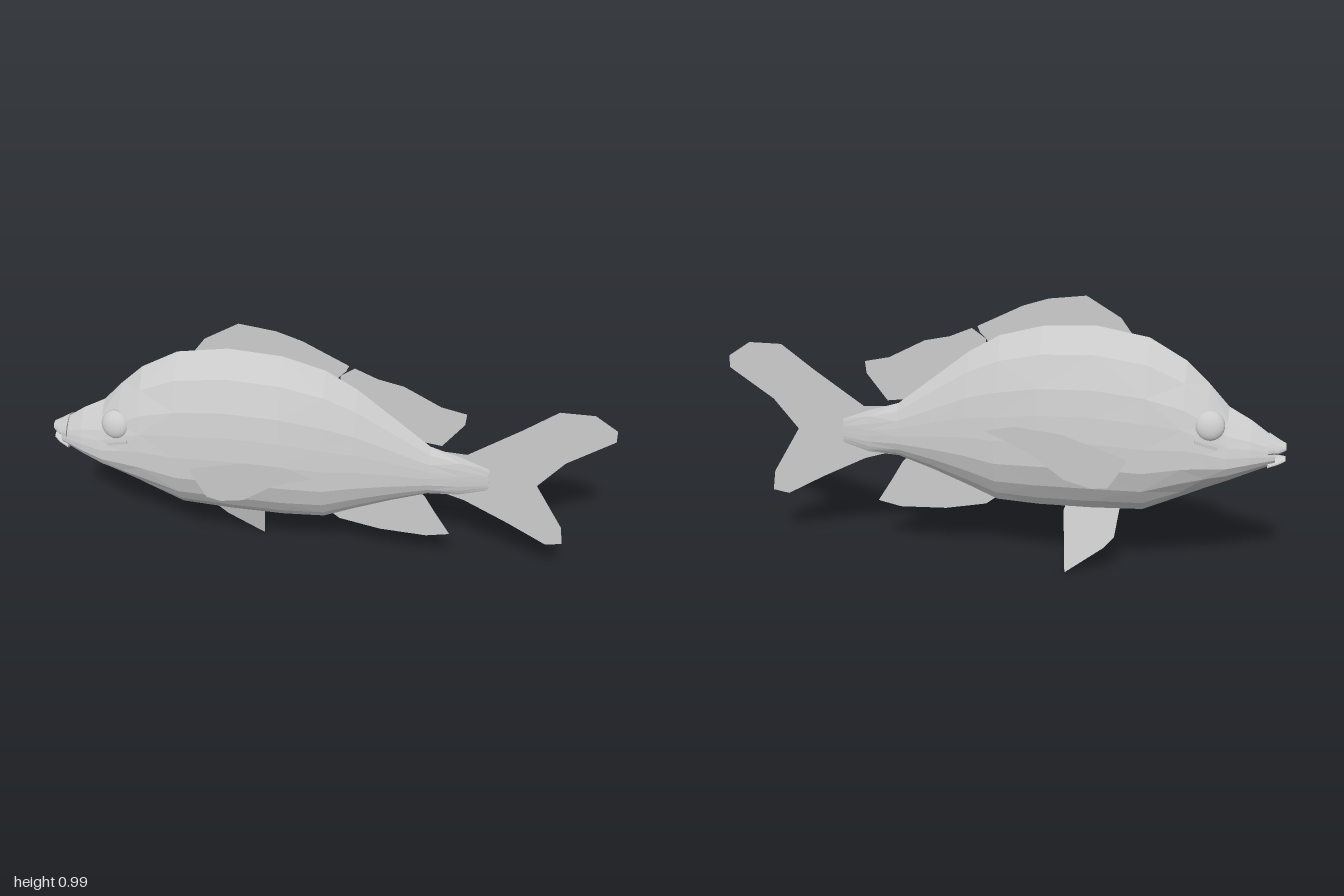
import * as THREE from 'three';

const skin = new THREE.MeshStandardMaterial({ color: 0xcccccc, flatShading: true });
const finMat = new THREE.MeshStandardMaterial({ color: 0xcccccc, side: THREE.DoubleSide });
const smooth = new THREE.MeshStandardMaterial({ color: 0xcccccc });

// Half cross-section from belly to back: [height fraction, width fraction]
const SECTION = [[0, 0], [0.015, 0.42], [0.07, 0.62], [0.16, 0.86], [0.28, 1],
  [0.42, 0.98], [0.56, 0.9], [0.7, 0.77], [0.87, 0.46], [1, 0]];

function add(group, name, geometry, material) {
  const mesh = new THREE.Mesh(geometry, material);
  mesh.name = name;
  group.add(mesh);
  return mesh;
}

// Skin a row of stations [x, bottom, top, half width] running from nose to tail
function loft(stations) {
  const ring = [...SECTION, ...SECTION.slice(1, -1).reverse().map(([h, w]) => [h, -w])];
  const n = ring.length, pos = [], index = [];
  for (const [x, lo, hi, half] of stations)
    for (const [h, w] of ring) pos.push(x, lo + (hi - lo) * h, half * w);
  for (let s = 0; s < stations.length - 1; s++)
    for (let i = 0; i < n; i++) {
      const a = s * n + i, b = s * n + (i + 1) % n, c = a + n, d = b + n;
      if ((s + i) % 2) index.push(a, c, b, b, c, d);
      else index.push(a, c, d, a, d, b);
    }
  // End caps
  const last = (stations.length - 1) * n;
  for (let i = 1; i < n - 1; i++) {
    index.push(0, i, i + 1);
    index.push(last, last + i + 1, last + i);
  }
  const g = new THREE.BufferGeometry();
  g.setAttribute('position', new THREE.Float32BufferAttribute(pos, 3));
  g.setIndex(index);
  g.computeVertexNormals();
  return g;
}

// Thin sheet from an outline in x/y, pushed sideways by a rule
function fin(outline, zRule = () => 0) {
  const g = new THREE.ShapeGeometry(new THREE.Shape(outline.map(([x, y]) => new THREE.Vector2(x, y))));
  const p = g.attributes.position;
  for (let i = 0; i < p.count; i++) p.setZ(i, zRule(p.getX(i), p.getY(i)));
  g.computeVertexNormals();
  return g;
}

export function createModel() {
  const fish = new THREE.Group();
  fish.name = 'fish';

  // Body, nose towards -x
  add(fish, 'body', loft([
    [-0.965, 0.44, 0.525, 0.045],
    [-0.88, 0.405, 0.587, 0.085],
    [-0.80, 0.37, 0.632, 0.11],
    [-0.73, 0.34, 0.71, 0.122],
    [-0.65, 0.302, 0.787, 0.13],
    [-0.52, 0.242, 0.862, 0.138],
    [-0.34, 0.233, 0.893, 0.14],
    [-0.15, 0.23, 0.882, 0.134],
    [0.0, 0.235, 0.84, 0.117],
    [0.11, 0.28, 0.775, 0.098],
    [0.24, 0.328, 0.67, 0.07],
    [0.37, 0.368, 0.565, 0.04],
    [0.48, 0.37, 0.53, 0.018],
    [0.58, 0.4, 0.49, 0.006],
  ]), skin);

  // Lips, leaving a small mouth gap
  add(fish, 'upperLip', loft([[-1, 0.487, 0.512, 0.02], [-0.975, 0.475, 0.525, 0.042], [-0.94, 0.47, 0.548, 0.06]]), skin);
  add(fish, 'lowerLip', loft([[-1, 0.448, 0.464, 0.018], [-0.975, 0.438, 0.465, 0.038], [-0.94, 0.427, 0.468, 0.056]]), skin);

  // Median fins
  add(fish, 'frontDorsalFin', fin([[-0.46, 0.87], [-0.42, 0.925], [-0.3, 0.997], [-0.17, 0.98],
    [-0.08, 0.95], [0.08, 0.868], [0.07, 0.845], [0.05, 0.825], [0, 0.75], [-0.3, 0.8]]), finMat);
  add(fish, 'rearDorsalFin', fin([[0.05, 0.825], [0.1, 0.86], [0.18, 0.825], [0.27, 0.805], [0.4, 0.735],
    [0.49, 0.715], [0.485, 0.67], [0.41, 0.572], [0.33, 0.583], [0.3, 0.5], [0.05, 0.72]]), finMat);
  add(fish, 'analFin', fin([[0, 0.24], [0.05, 0.2], [0.2, 0.17], [0.37, 0.162], [0.455, 0.18],
    [0.4, 0.27], [0.36, 0.34], [0.3, 0.4], [0.1, 0.35]]), finMat);
  add(fish, 'tailFin', fin([[0.4, 0.55], [0.5, 0.545], [0.68, 0.67], [0.8, 0.76], [0.92, 0.76], [1, 0.705],
    [1, 0.66], [0.84, 0.55], [0.75, 0.44], [0.85, 0.265], [0.86, 0.19], [0.8, 0.18], [0.66, 0.26],
    [0.5, 0.343], [0.4, 0.375]]), finMat);

  // Paired pectoral fins and eyes
  for (const [side, s] of [['left', 1], ['right', -1]]) {
    add(fish, side + 'PectoralFin', fin([[-0.47, 0.46], [-0.44, 0.41], [-0.405, 0.36], [-0.35, 0.362],
      [-0.26, 0.4], [-0.15, 0.5], [-0.07, 0.55], [0, 0.59], [-0.1, 0.6], [-0.25, 0.565], [-0.43, 0.48], [-0.455, 0.435]].slice(0, 11),
      (x) => s * (0.135 + (x + 0.47) * 0.32)), finMat);
    const eye = add(fish, side + 'Eye', new THREE.SphereGeometry(0.052, 20, 14), smooth);
    eye.position.set(-0.74, 0.59, s * 0.088);
    eye.scale.z = 0.5;
    eye.rotation.set(-s * 0.3, -s * 0.15, 0);
    // Fold under the eye
    const fold = add(fish, side + 'EyeFold', new THREE.BoxGeometry(0.08, 0.012, 0.02), skin);
    fold.position.set(-0.73, 0.527, s * 0.108);
    fold.rotation.set(0, -s * 0.15, 0.3);
  }

  // Single pelvic fin, splayed towards the right
  add(fish, 'pelvicFin', fin([[-0.44, 0.25], [-0.425, 0.14], [-0.39, 0.1], [-0.255, 0.003], [-0.24, 0.22], [-0.25, 0.25]],
    (x, y) => -0.045 - (0.24 - y) * 0.26), finMat);

  return fish;
}
